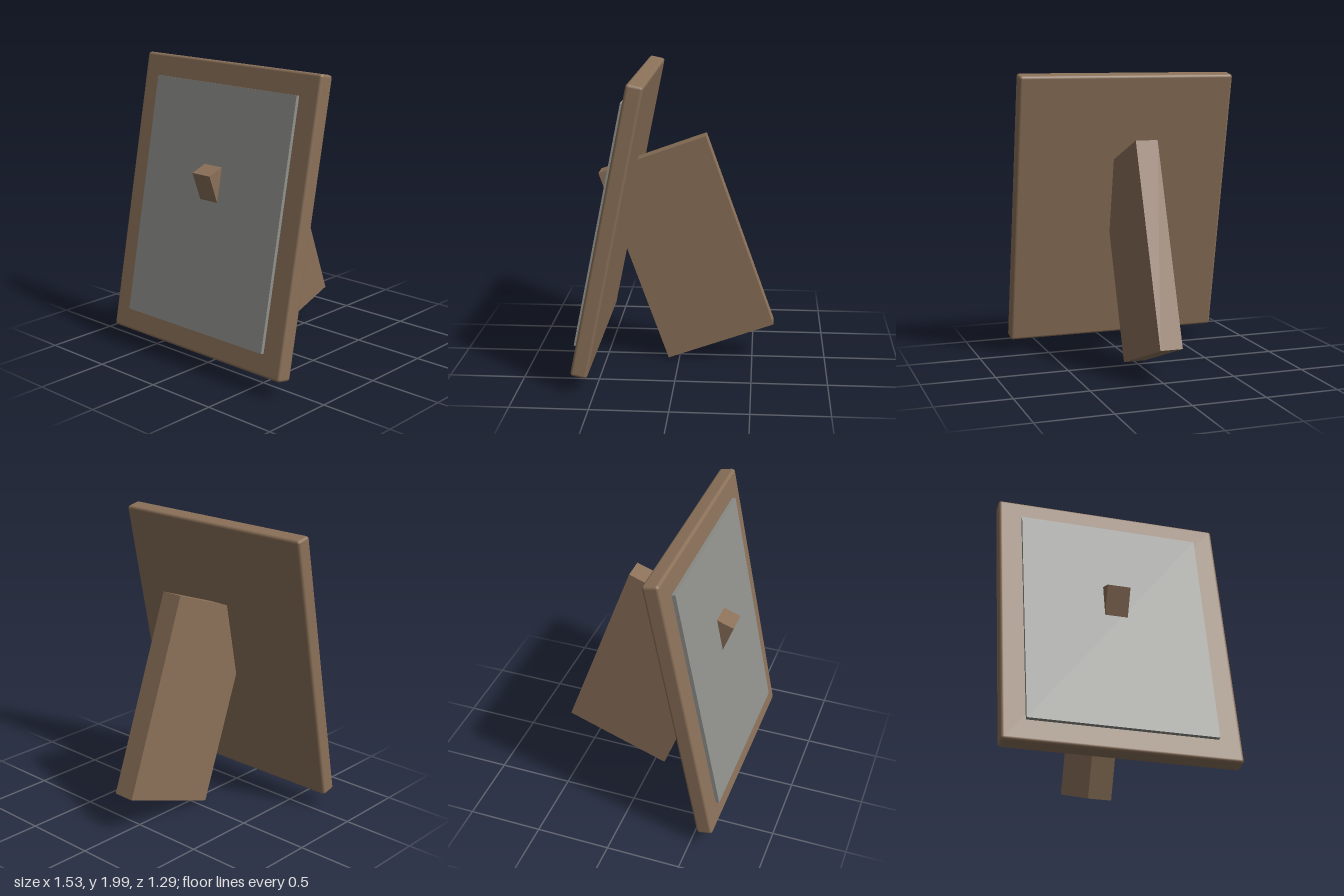
import * as THREE from 'three';
import { RoundedBoxGeometry } from 'three/addons/geometries/RoundedBoxGeometry.js';

const TILT = -0.2;        // frame leans back
const STAND_TILT = 0.347; // stand leans forward into the frame

export function createModel() {
  const wood = new THREE.MeshStandardMaterial({ color: 0x8b7159 });
  const grey = new THREE.MeshStandardMaterial({ color: 0x90908c });
  const model = new THREE.Group();
  model.name = 'photoFrame';

  const addMesh = (parent, name, geometry, material) => {
    const mesh = new THREE.Mesh(geometry, material);
    mesh.name = name;
    parent.add(mesh);
    return mesh;
  };

  // Leaning board with the picture panel standing proud of its front
  const board = new THREE.Group();
  board.name = 'leaningBoard';
  board.position.set(0, 1.053, 0.409);
  board.rotation.x = TILT;
  model.add(board);

  addMesh(board, 'frame', new RoundedBoxGeometry(1.53, 1.913, 0.11, 2, 0.02), wood);
  const panel = addMesh(board, 'picturePanel', new THREE.BoxGeometry(1.224, 1.615, 0.04), grey);
  panel.position.z = 0.06;

  // Thick stand, its upper front corner pokes through the board
  const stand = addMesh(model, 'stand', new THREE.BoxGeometry(0.153, 1.383, 0.764), wood);
  stand.position.set(0, 0.785, -0.05);
  stand.rotation.x = STAND_TILT;

  return model;
}
